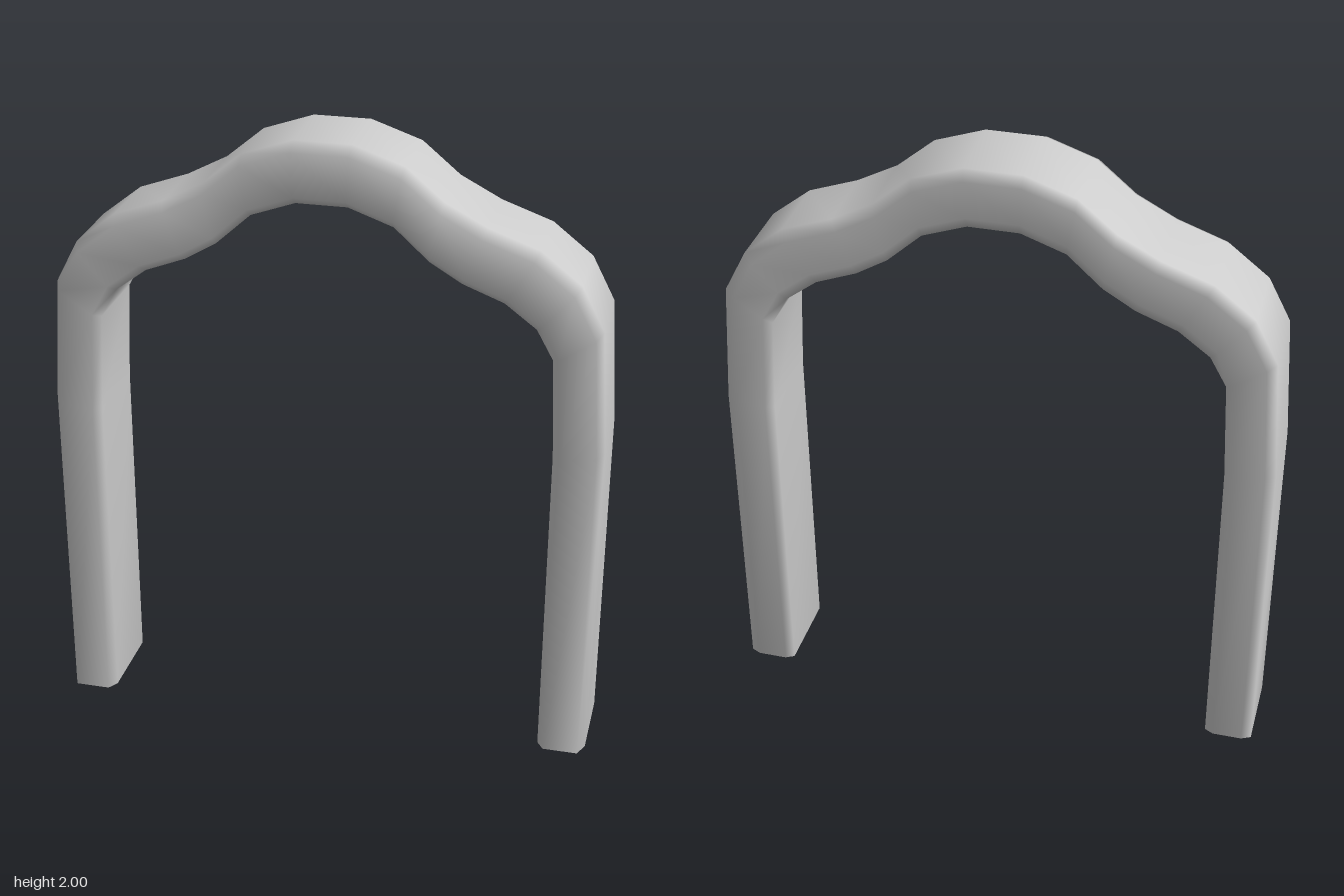
import * as THREE from 'three';

// Right half of the arch, foot to crown: [outer x, outer y, inner x, inner y]
const HALF = [
  [0.885, 0, 0.73, 0],
  [0.885, 1.08, 0.728, 1.06],
  [0.86, 1.48, 0.713, 1.38],
  [0.787, 1.62, 0.66, 1.475],
  [0.66, 1.72, 0.56, 1.55],
  [0.5, 1.777, 0.43, 1.6],
  [0.37, 1.845, 0.33, 1.66],
  [0.25, 1.945, 0.22, 1.76],
  [0.09, 2.0, 0.08, 1.81],
];

// Chamfered cross-section: [0 = outer edge .. 1 = inner edge, z]
const SECTION = [
  [0, 0.11], [0.13, 0.158], [0.86, 0.158], [1, 0.125],
  [1, -0.145], [0.82, -0.16], [0.2, -0.16], [0, -0.145],
];

export function createModel() {
  const group = new THREE.Group();
  group.name = 'arch';

  // Mirror the half path, then sweep the section along it
  const path = [...HALF, ...[...HALF].reverse().map(([ox, oy, ix, iy]) => [-ox, oy, -ix, iy])];
  const n = SECTION.length;
  const positions = [];
  const index = [];
  for (const [ox, oy, ix, iy] of path) {
    for (const [u, z] of SECTION) positions.push(ox + (ix - ox) * u, oy + (iy - oy) * u, z);
  }
  for (let i = 0; i < path.length - 1; i++) {
    for (let j = 0; j < n; j++) {
      const k = (j + 1) % n;
      const a = i * n + j, b = i * n + k, c = a + n, d = b + n;
      index.push(a, c, b, b, c, d);
    }
  }

  // Close the two feet
  const last = (path.length - 1) * n;
  for (let j = 1; j < n - 1; j++) {
    index.push(0, j, j + 1);
    index.push(last, last + j + 1, last + j);
  }

  const geometry = new THREE.BufferGeometry();
  geometry.setAttribute('position', new THREE.Float32BufferAttribute(positions, 3));
  geometry.setIndex(index);
  geometry.computeVertexNormals();

  const frame = new THREE.Mesh(geometry, new THREE.MeshStandardMaterial({ color: 0xcccccc }));
  frame.name = 'archFrame';
  group.add(frame);
  return group;
}
